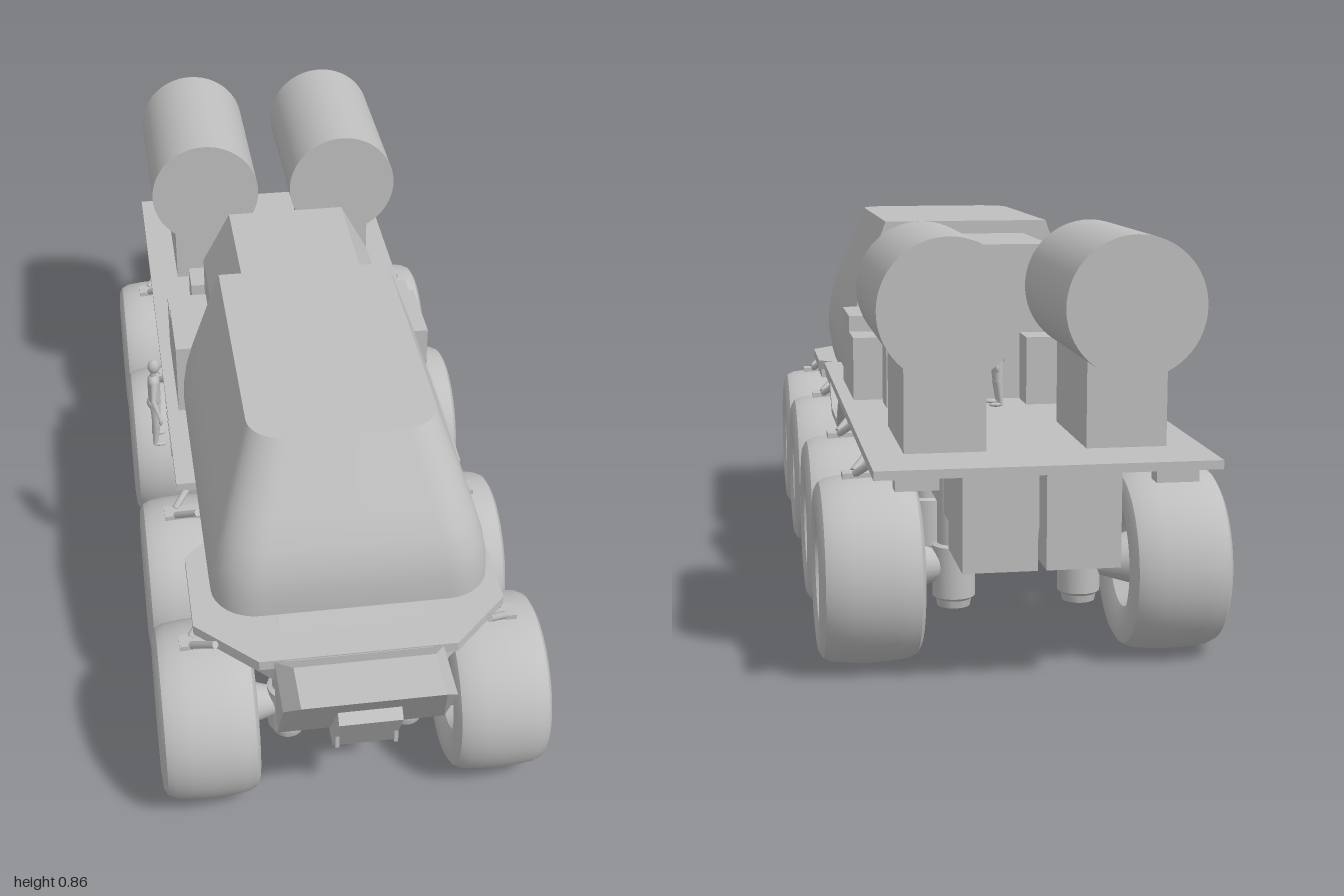
import * as THREE from 'three';
import { toCreasedNormals } from 'three/addons/utils/BufferGeometryUtils.js';
import { ConvexGeometry } from 'three/addons/geometries/ConvexGeometry.js';

const grey = new THREE.MeshStandardMaterial({ color: 0xbfbfbf });
grey.name = 'hull grey';

function add(parent, name, geo, x = 0, y = 0, z = 0) {
  const m = new THREE.Mesh(geo, grey);
  m.name = name;
  m.position.set(x, y, z);
  parent.add(m);
  return m;
}

// Box given by its limits on each axis
function box(parent, name, x0, x1, y0, y1, z0, z1) {
  return add(parent, name, new THREE.BoxGeometry(x1 - x0, y1 - y0, z1 - z0),
    (x0 + x1) / 2, (y0 + y1) / 2, (z0 + z1) / 2);
}

const shapeOf = pts => new THREE.Shape(pts.map(p => new THREE.Vector2(...p)));

// Side profile of [z, y] points, extruded across x
function sideExtrude(parent, name, pts, x0, x1) {
  const g = new THREE.ExtrudeGeometry(shapeOf(pts), { depth: x1 - x0, bevelEnabled: false });
  g.rotateY(-Math.PI / 2);
  return add(parent, name, g, x1, 0, 0);
}

// Plan outline of [x, z] points, extruded down from y1 to y0
function planExtrude(parent, name, pts, y0, y1) {
  const g = new THREE.ExtrudeGeometry(shapeOf(pts), { depth: y1 - y0, bevelEnabled: false });
  g.rotateX(Math.PI / 2);
  return add(parent, name, g, 0, y1, 0);
}

// Cylinder between two points
function rod(parent, name, a, b, r0, r1 = r0, seg = 20) {
  const A = new THREE.Vector3(...a), B = new THREE.Vector3(...b);
  const m = add(parent, name, new THREE.CylinderGeometry(r1, r0, A.distanceTo(B), seg));
  m.position.copy(A).add(B).multiplyScalar(0.5);
  m.quaternion.setFromUnitVectors(new THREE.Vector3(0, 1, 0), B.sub(A).normalize());
  return m;
}

// Cabin shell: stacked U-shaped sections with rounded front corners
function cabinGeometry() {
  // y, half width, front z, corner radius
  const levels = [
    [0.43, 0.272, 0.61, 0.07], [0.455, 0.277, 0.67, 0.08], [0.505, 0.28, 0.775, 0.09],
    [0.55, 0.278, 0.776, 0.09], [0.60, 0.27, 0.77, 0.09], [0.65, 0.255, 0.75, 0.085],
    [0.70, 0.237, 0.718, 0.08], [0.83, 0.19, 0.632, 0.07]];
  const rings = levels.map(([y, w, zf, r]) => {
    const ring = [[-w, y, 0.02]];
    for (const s of [-1, 1]) for (let i = 0; i <= 8; i++) {
      const t = (s < 0 ? i : 8 - i) / 8 * Math.PI / 2;
      ring.push([s * (w - r + r * Math.cos(t)), y, zf - r + r * Math.sin(t)]);
    }
    ring.push([w, y, 0.02]);
    return ring;
  });
  const n = rings[0].length, pos = rings.flat(2), idx = [];
  for (let k = 0; k < rings.length - 1; k++) for (let i = 0; i < n; i++) {
    const a = k * n + i, b = k * n + (i + 1) % n;
    idx.push(a, b, b + n, a, b + n, a + n);
  }
  const top = (rings.length - 1) * n;
  for (let i = 1; i < n - 1; i++) idx.push(0, i + 1, i, top, top + i, top + i + 1);
  const g = new THREE.BufferGeometry();
  g.setAttribute('position', new THREE.Float32BufferAttribute(pos, 3));
  g.setIndex(idx);
  return toCreasedNormals(g, 0.5);
}

// Tyre and dished rim in one turned profile, outer face towards +x
const wheelProfile = [[0, -0.06], [0.05, -0.06], [0.085, -0.05], [0.1, -0.085], [0.125, -0.1],
  [0.16, -0.1], [0.174, -0.092], [0.182, -0.075], [0.186, -0.04], [0.188, 0], [0.186, 0.04],
  [0.182, 0.075], [0.174, 0.092], [0.16, 0.1], [0.13, 0.1025], [0.113, 0.095], [0.107, 0.085],
  [0.1, 0.085], [0.092, 0.045], [0.075, 0.035], [0.068, 0.05], [0.03, 0.052], [0.025, 0.06], [0, 0.06]];
const wheelGeo = toCreasedNormals(new THREE.LatheGeometry(
  wheelProfile.map(p => new THREE.Vector2(...p)), 48).rotateZ(-Math.PI / 2), 0.55);

// Wheel with hub, strut and top bracket, for the +x side
function wheelUnit() {
  const g = new THREE.Group();
  g.name = 'wheelUnit';
  add(g, 'wheel', wheelGeo, 0.303, 0.19, 0);
  add(g, 'rimRing', new THREE.TorusGeometry(0.085, 0.006, 6, 36).rotateY(Math.PI / 2), 0.352, 0.19, 0);
  for (let i = 0; i < 6; i++) {
    const a = i / 6 * Math.PI * 2 + Math.PI / 6;
    const y = 0.19 + 0.05 * Math.sin(a), z = 0.05 * Math.cos(a);
    rod(g, 'wheelBolt', [0.345, y, z], [0.362, y, z], 0.011, 0.011, 10);
  }
  rod(g, 'axleCone', [0.15, 0.19, 0], [0.25, 0.19, 0], 0.028, 0.058);
  const strut = [[0, 0.107], [0.033, 0.107], [0.036, 0.122], [0.043, 0.128], [0.043, 0.232],
    [0.033, 0.236], [0.033, 0.38], [0, 0.38]];
  add(g, 'strut', toCreasedNormals(new THREE.LatheGeometry(
    strut.map(p => new THREE.Vector2(...p)), 24), 0.5), 0.128, 0, 0);
  box(g, 'bracket', 0.27, 0.35, 0.372, 0.386, -0.018, 0.018);
  for (const s of [-1, 1]) rod(g, 'bracketArm', [0.28, 0.425, s * 0.06], [0.325, 0.384, s * 0.012], 0.008, 0.008, 8);
  return g;
}

// Standing crew figure facing +x, feet at the origin
function crewFigure() {
  const g = new THREE.Group();
  g.name = 'crewFigure';
  add(g, 'head', new THREE.SphereGeometry(0.014, 14, 10).scale(0.95, 1.2, 0.85), 0.002, 0.201, 0);
  rod(g, 'neck', [0, 0.17, 0], [0, 0.19, 0], 0.007, 0.007, 10);
  add(g, 'torso', new THREE.CapsuleGeometry(0.017, 0.045, 6, 14).scale(0.8, 1, 1.25), 0, 0.14, 0);
  add(g, 'hips', new THREE.SphereGeometry(0.018, 14, 10).scale(0.9, 0.9, 1.05), -0.002, 0.106, 0);
  for (const s of [-1, 1]) {
    rod(g, 'thigh', [0, 0.107, s * 0.01], [0, 0.055, s * 0.016], 0.012, 0.009, 10);
    rod(g, 'shin', [0, 0.055, s * 0.016], [-0.005, 0.004, s * 0.02], 0.009, 0.005, 10);
    add(g, 'foot', new THREE.SphereGeometry(0.006, 10, 8).scale(2.6, 0.8, 1), 0.006, 0.005, s * 0.021);
    rod(g, 'upperArm', [0, 0.168, s * 0.019], [-0.004, 0.13, s * 0.036], 0.008, 0.006, 10);
    rod(g, 'forearm', [-0.004, 0.13, s * 0.036], [0.008, 0.095, s * 0.05], 0.006, 0.004, 10);
    add(g, 'hand', new THREE.SphereGeometry(0.006, 8, 6).scale(0.8, 1.5, 0.8), 0.009, 0.088, s * 0.052);
  }
  return g;
}

export function createModel() {
  const model = new THREE.Group();
  model.name = 'eightWheeledRover';

  // Running gear
  for (const z of [0.70, 0.286, -0.244, -0.655]) for (const side of [0, Math.PI]) {
    const w = wheelUnit();
    w.rotation.y = side;
    w.position.z = z;
    model.add(w);
  }

  // Chassis and decks
  sideExtrude(model, 'chassis', [[0.85, 0.43], [0.87, 0.30], [0.8, 0.33], [0.45, 0.33], [0.1, 0.265],
    [-0.15, 0.255], [-0.4, 0.3], [-0.85, 0.3], [-0.85, 0.445], [0.5, 0.445]], -0.15, 0.15);
  sideExtrude(model, 'midHull', [[0.62, 0.415], [0.5, 0.38], [0.27, 0.385], [0.1, 0.355], [-0.1, 0.355],
    [-0.24, 0.4], [-0.45, 0.43], [-0.45, 0.446], [0.3, 0.446], [0.3, 0.415]], -0.27, 0.27);
  box(model, 'rearDeck', -0.32, 0.32, 0.444, 0.461, -1, 0.285);
  box(model, 'deckUnderlay', -0.3, 0.3, 0.43, 0.446, -0.87, 0.27);
  planExtrude(model, 'frontDeck', [[-0.2, 0.83], [-0.32, 0.71], [-0.32, 0.5], [-0.27, 0.45], [-0.27, 0.2],
    [0.27, 0.2], [0.27, 0.45], [0.32, 0.5], [0.32, 0.71], [0.2, 0.83]], 0.412, 0.434);
  planExtrude(model, 'frontUnderDeck', [[-0.17, 0.83], [-0.31, 0.69], [-0.31, 0.55], [0.31, 0.55],
    [0.31, 0.69], [0.17, 0.83]], 0.38, 0.412);

  for (const s of [-1, 1]) {
    const span = (a, b) => s > 0 ? [a, b] : [-b, -a];
    // Side step hanging between the wheel pairs
    sideExtrude(model, 'sideStep', [[0.285, 0.444], [0.26, 0.43], [0.13, 0.43], [0.065, 0.37], [-0.1, 0.37],
      [-0.175, 0.444], [-0.15, 0.444], [-0.09, 0.385], [0.055, 0.385], [0.12, 0.444]], ...span(0.285, 0.318));
    // Equipment boxes beside and behind the rear cabin
    box(model, 'tallLocker', ...span(0.19, 0.293), 0.46, 0.633, -0.168, 0.01);
    box(model, 'lowLocker', ...span(0.19, 0.293), 0.46, 0.598, -0.272, -0.168);
    box(model, 'rearLocker', ...span(0.07, 0.232), 0.46, 0.607, -0.382, -0.3);
    // Tanks on pedestals
    rod(model, 'tank', [s * 0.173, 0.734, -0.925], [s * 0.173, 0.734, -0.52], 0.133, 0.133, 64);
    box(model, 'tankPedestal', ...span(0.095, 0.25), 0.46, 0.65, -0.86, -0.583);
    // Rear underside boxes and lugs
    box(model, 'rearBox', ...span(0.008, 0.15), 0.245, 0.445, -0.922, -0.74);
    box(model, 'rearLug', ...span(0.2, 0.28), 0.418, 0.446, -0.98, -0.94);
  }

  // Cabins
  add(model, 'frontCabin', cabinGeometry());
  const rear = new THREE.ExtrudeGeometry(shapeOf([[-0.2, 0.45], [0.2, 0.45], [0.2, 0.68], [0.135, 0.8],
    [-0.135, 0.8], [-0.2, 0.68]]), { depth: 0.325, bevelEnabled: false });
  add(model, 'rearCabin', rear, 0, 0, -0.297);

  // Nose wedge with winch housing
  const nose = [];
  for (const s of [-1, 1]) for (const [x, y, z] of [[0.14, 0.47, 1], [0.17, 0.43, 0.965], [0.17, 0.275, 0.872],
    [0.14, 0.47, 0.89], [0.17, 0.43, 0.83], [0.17, 0.39, 0.82], [0.17, 0.29, 0.85]])
    nose.push(new THREE.Vector3(s * x, y, z));
  add(model, 'nose', new ConvexGeometry(nose));
  sideExtrude(model, 'winchHousing', [[0.95, 0.412], [0.976, 0.388], [0.9, 0.252], [0.86, 0.252],
    [0.86, 0.412]], -0.063, 0.063);
  for (const s of [-1, 1]) box(model, 'winchBracket', s * 0.059 - 0.004, s * 0.059 + 0.004, 0.283, 0.333, 0.89, 0.935);

  // Crew
  for (const [x, y, z] of [[-0.352, 0.49, 0.155], [-0.007, 0.461, -0.38]]) {
    const c = crewFigure();
    c.position.set(x, y, z);
    model.add(c);
  }
  return model;
}
